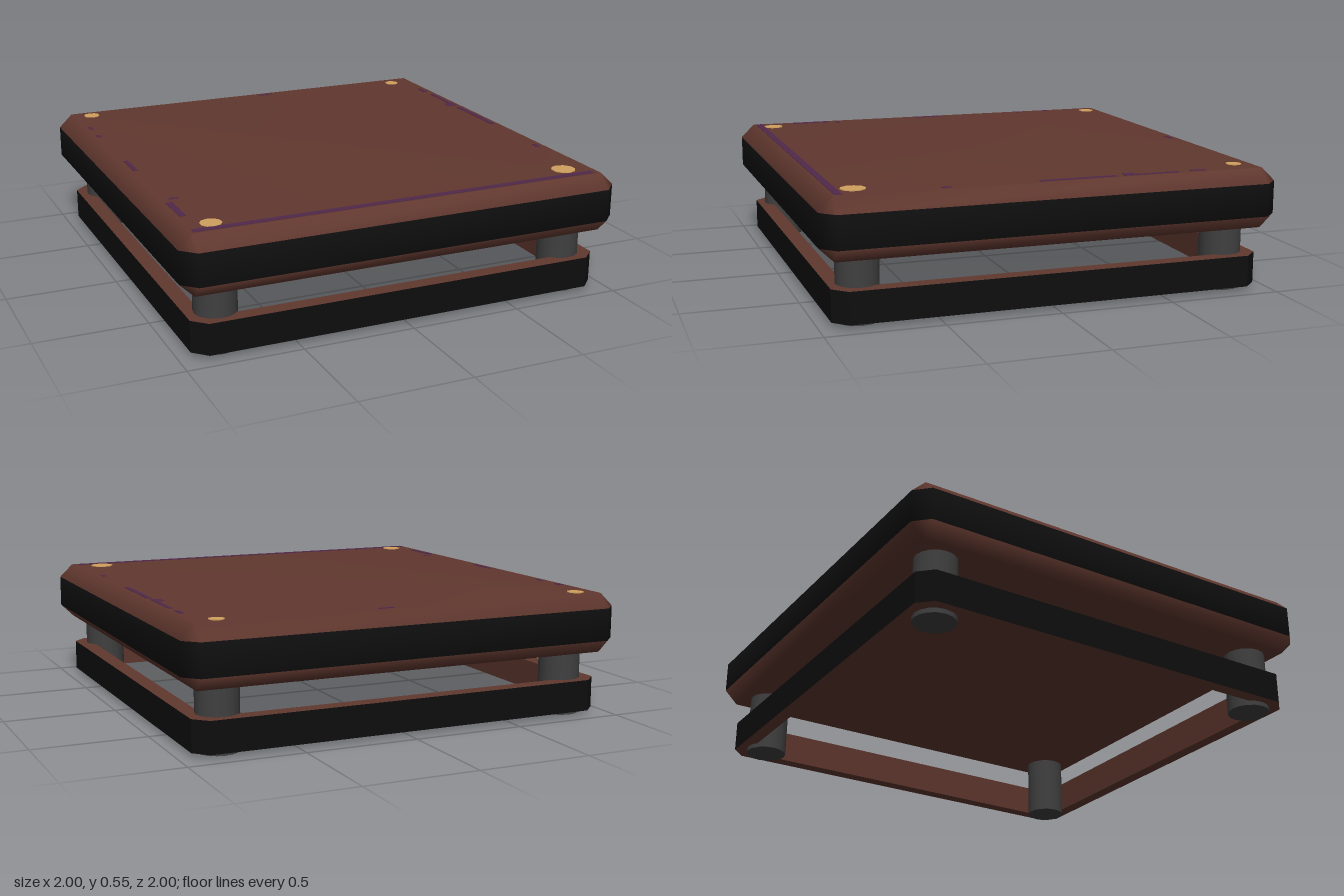
import * as THREE from 'three';

const mat = (name, color, extra = {}) => Object.assign(new THREE.MeshStandardMaterial({ color, ...extra }), { name });

// Square ring with cut corners at height y, counter-clockwise from above
function ring([half, cut, y]) {
  const a = half, b = half - cut;
  return [[a, b], [a, -b], [b, -a], [-b, -a], [-a, -b], [-a, b], [-b, a], [b, a]]
    .map(([x, z]) => [x, y, z]);
}

// Skin a list of rings; strips[i] is the material index of the strip above ring i
function loft(sections, strips, capMaterial) {
  const n = 8, pos = sections.flatMap(ring).flat(), index = [];
  const geo = new THREE.BufferGeometry();
  const group = (material, add) => {
    const start = index.length;
    add();
    geo.addGroup(start, index.length - start, material);
  };
  strips.forEach((material, s) => group(material, () => {
    const lo = s * n, hi = ((s + 1) % sections.length) * n;
    for (let i = 0; i < n; i++) {
      const j = (i + 1) % n;
      index.push(lo + i, lo + j, hi + j, lo + i, hi + j, hi + i);
    }
  }));
  if (capMaterial !== undefined) group(capMaterial, () => {
    const top = (sections.length - 1) * n;
    for (let i = 1; i < n - 1; i++) index.push(top, top + i, top + i + 1, 0, i + 1, i);
  });
  geo.setAttribute('position', new THREE.Float32BufferAttribute(pos, 3));
  geo.setIndex(index);
  geo.computeVertexNormals();
  return geo;
}

export function createModel() {
  const model = new THREE.Group();
  model.name = 'lowTable';
  const wood = mat('brown wood', 0x61382f);
  const black = mat('black edging', 0x0e0e0e);
  const metal = mat('dark grey legs', 0x404040);
  const gold = mat('gold pegs', 0xd0a05e);
  const purple = mat('purple inlay', 0x50284a);
  const add = (name, geo, material, x = 0, y = 0, z = 0) => {
    const mesh = new THREE.Mesh(geo, material);
    mesh.name = name;
    mesh.position.set(x, y, z);
    model.add(mesh);
    return mesh;
  };

  // Bevelled slab with a black band round its edge
  add('tableTop', loft(
    [[0.938, 0, 0.28], [1, 0.062, 0.34], [1, 0.062, 0.483], [0.938, 0, 0.543]],
    [0, 1, 0], 0), [wood, black]);

  // Open lower frame, black outside and brown elsewhere
  const frame = loft(
    [[0.945, 0.06, 0.02], [0.945, 0.06, 0.158], [0.875, 0.035, 0.158], [0.885, 0.035, 0.02]],
    [1, 0, 0, 0]).toNonIndexed();
  frame.computeVertexNormals();
  add('lowerFrame', frame, [wood, black]);

  // Four round legs
  const legGeo = new THREE.CylinderGeometry(0.092, 0.092, 0.3, 16);
  for (const x of [-0.815, 0.81]) for (const z of [-0.815, 0.82]) add('leg', legGeo, metal, x, 0.15, z);

  // Gold peg ends in the top: x, z, radius
  for (const [x, z, r] of [[-0.85, -0.873, 0.038], [0.825, -0.862, 0.034], [-0.835, 0.853, 0.046], [0.813, 0.83, 0.054]])
    add('peg', new THREE.CylinderGeometry(r, r, 0.006, 10), gold, x, 0.543, z);

  // Worn inlay lines along the edges: x, z, width, depth
  const inlays = [
    [-0.01, 0.911, 1.84, 0.032], [0.1, -0.907, 0.07, 0.014],
    [0.91, -0.43, 0.018, 0.25], [0.893, -0.335, 0.04, 0.05], [0.91, -0.1, 0.022, 0.34],
    [0.905, -0.65, 0.02, 0.07], [0.905, 0.47, 0.02, 0.04],
    [-0.91, 0.645, 0.028, 0.18], [-0.875, 0.51, 0.04, 0.015], [-0.91, 0.01, 0.02, 0.15],
    [-0.915, -0.65, 0.02, 0.04], [-0.915, -0.5, 0.02, 0.03],
  ];
  for (const [x, z, w, d] of inlays) add('inlay', new THREE.BoxGeometry(w, 0.004, d), purple, x, 0.543, z);

  return model;
}
